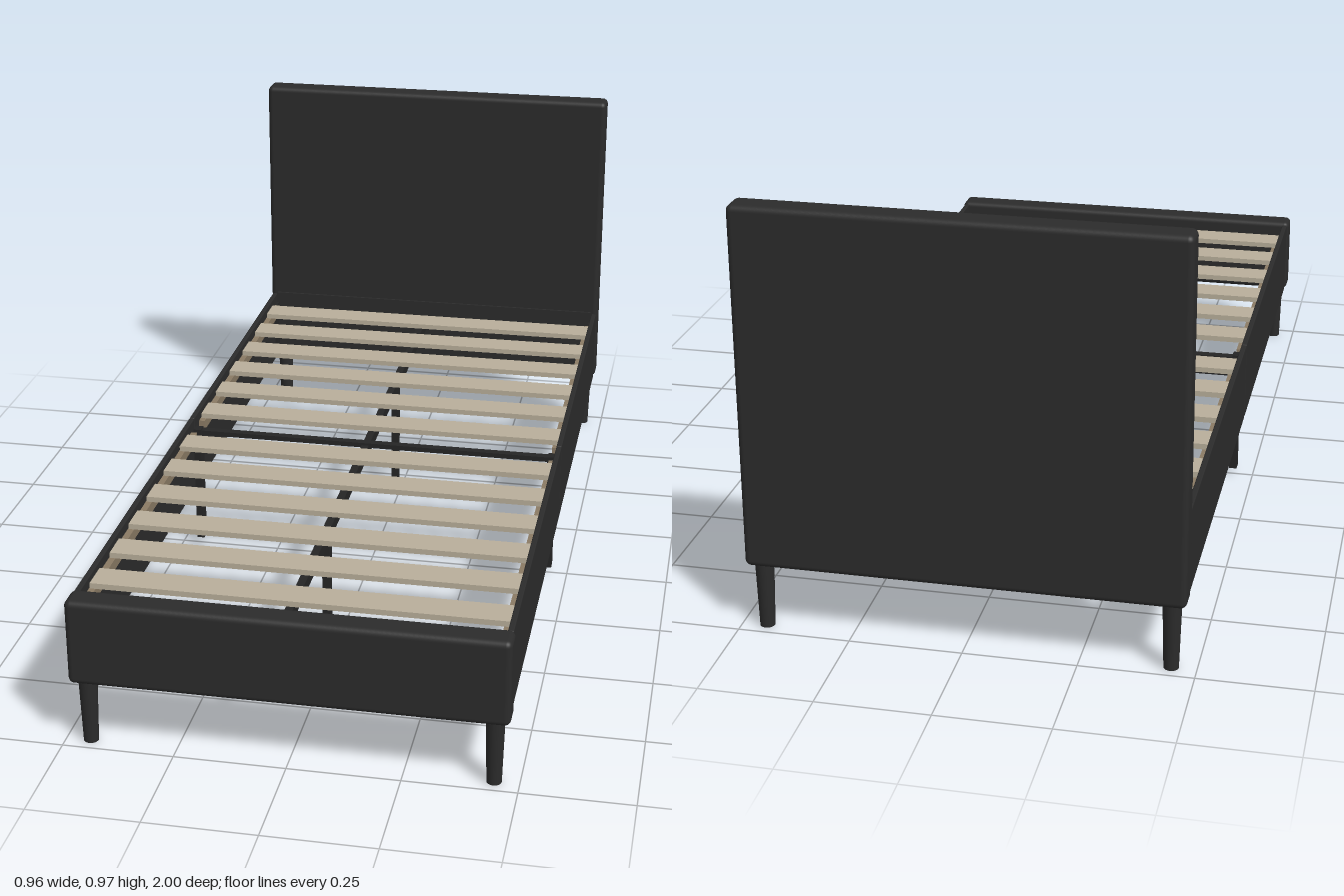
import * as THREE from 'three';
import { RoundedBoxGeometry } from 'three/addons/geometries/RoundedBoxGeometry.js';

export function createModel() {
  const bed = new THREE.Group();
  bed.name = 'bed';
  const mat = (name, color) => {
    const m = new THREE.MeshStandardMaterial({ color });
    m.name = name;
    return m;
  };
  const fabric = mat('charcoal fabric', 0x2b2b2b);
  const metal = mat('black metal', 0x252525);
  const wood = mat('pale wood', 0xb8ae9a);
  const brown = mat('brown wood', 0x8a7a64);

  const add = (name, geo, material, x, y, z) => {
    const mesh = new THREE.Mesh(geo, material);
    mesh.name = name;
    mesh.position.set(x, y, z);
    bed.add(mesh);
    return mesh;
  };
  // Box given by its limits on each axis; a radius rounds its edges
  const block = (name, material, [x0, x1], [y0, y1], [z0, z1], r = 0) => {
    const size = [x1 - x0, y1 - y0, z1 - z0];
    const geo = r ? new RoundedBoxGeometry(...size, 4, r) : new THREE.BoxGeometry(...size);
    return add(name, geo, material, (x0 + x1) / 2, (y0 + y1) / 2, (z0 + z1) / 2);
  };

  // Upholstered end boards
  block('headboard', fabric, [-0.479, 0.479], [0.155, 0.971], [-1, -0.935], 0.014);
  block('headboardLowerPanel', fabric, [-0.46, 0.46], [0.16, 0.355], [-0.94, -0.929]);
  block('footboard', fabric, [-0.48, 0.48], [0.155, 0.356], [0.935, 1], 0.014);

  for (const s of [-1, 1]) {
    const span = (a, b) => (s > 0 ? [a, b] : [-b, -a]);
    // Side rails in two halves, each with a ledge for the slats
    for (const [half, z] of [['rear', [-0.936, -0.002]], ['front', [0.002, 0.936]]]) {
      block(half + 'SideRail', fabric, span(0.462, 0.475), [0.156, 0.35], z, 0.003);
    }
    block('rearSlatLedge', brown, span(0.447, 0.463), [0.3, 0.325], [-0.9, -0.045]);
    block('frontSlatLedge', brown, span(0.447, 0.463), [0.3, 0.325], [0.03, 0.9]);

    // Middle support leg and corner brackets inside the rail
    block('railSupportLeg', metal, span(0.442, 0.461), [0.02, 0.325], [-0.013, 0.013]);
    for (const e of [-1, 1]) {
      const z = e > 0 ? [0.9, 0.935] : [-0.928, -0.9];
      block('cornerBracket', metal, span(0.455, 0.463), [0.18, 0.325], z);
      // Tapered corner leg
      add('cornerLeg', new THREE.CylinderGeometry(0.021, 0.0165, 0.16, 24), fabric,
        s * 0.445, 0.08, e * 0.965);
    }
  }

  // Lengthwise beam with its legs
  block('centreBeam', metal, [-0.027, -0.009], [0.288, 0.315], [-0.929, 0.935]);
  for (const z of [-0.435, 0.475]) {
    block('centreLeg', metal, [-0.027, -0.009], [0.02, 0.29], [z - 0.013, z + 0.013]);
  }

  // Pair of cross bars joining the rails
  for (const y of [0.277, 0.315]) {
    block('crossBar', metal, [-0.462, 0.462], [y - 0.006, y + 0.006], [-0.014, 0.006]);
  }

  // Two banks of six slats
  for (const start of [-0.828, 0.11]) {
    for (let i = 0; i < 6; i++) {
      const z = start + i * 0.146;
      block('slat', wood, [-0.46, 0.46], [0.325, 0.338], [z - 0.036, z + 0.036]);
    }
  }
  return bed;
}
